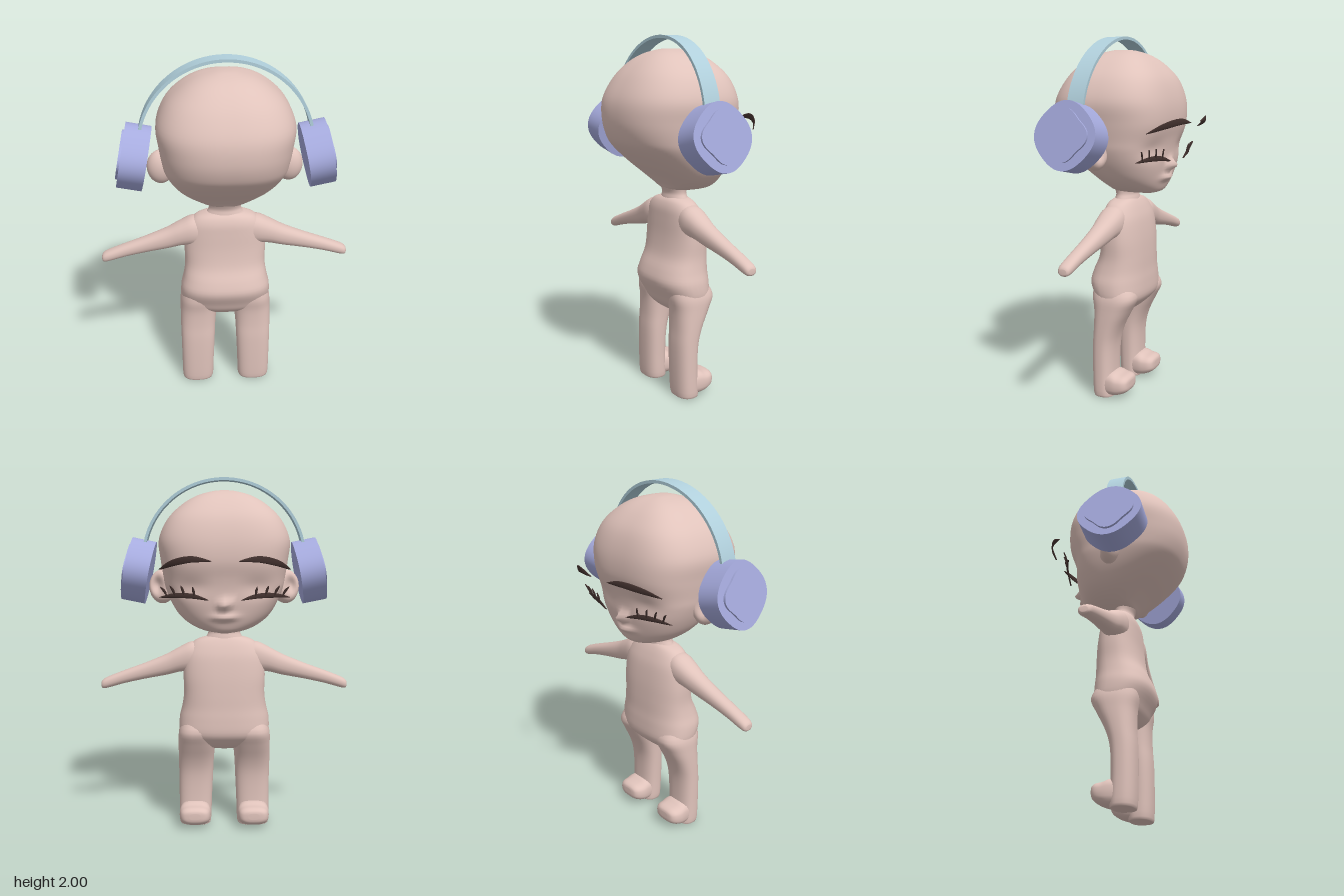
import * as THREE from 'three';
import { toCreasedNormals } from 'three/addons/utils/BufferGeometryUtils.js';

const mat = (name, color) => Object.assign(new THREE.MeshStandardMaterial({ color }), { name });
const V = (x, y, z) => new THREE.Vector3(x, y, z);

// Catmull-Rom resampling of a table of section rows
function smoothRows(rows, steps) {
  const out = [], at = i => rows[Math.min(Math.max(i, 0), rows.length - 1)];
  for (let i = 0; i < rows.length - 1; i++) {
    for (let k = 0; k < steps; k++) {
      const t = k / steps;
      out.push(rows[i].map((b, c) => {
        const a = at(i - 1)[c], d = at(i + 1)[c], e = at(i + 2)[c];
        return b + 0.5 * t * (d - a + t * (2 * a - 5 * b + 4 * d - e + t * (3 * (b - d) + e - a)));
      }));
    }
  }
  out.push(rows[rows.length - 1]);
  return out;
}

// Closed skin over a list of equal-length rings, with outward winding
function loft(rings) {
  const n = rings[0].length, pts = rings.flat(), idx = [];
  rings.slice(1).forEach((_, i) => {
    for (let j = 0; j < n; j++) {
      const a = i * n + j, b = i * n + (j + 1) % n, c = a + n, d = b + n;
      idx.push(a, c, b, b, c, d);
    }
  });
  [0, rings.length - 1].forEach((r, end) => {
    const pole = pts.length;
    pts.push(rings[r].reduce((s, p) => s.add(p), V(0, 0, 0)).divideScalar(n));
    for (let j = 0; j < n; j++) {
      const a = r * n + j, b = r * n + (j + 1) % n;
      idx.push(...(end ? [a, pole, b] : [a, b, pole]));
    }
  });
  let volume = 0;
  for (let i = 0; i < idx.length; i += 3) {
    volume += pts[idx[i]].dot(pts[idx[i + 1]].clone().cross(pts[idx[i + 2]]));
  }
  if (volume < 0) idx.reverse();
  const g = new THREE.BufferGeometry().setFromPoints(pts);
  g.setIndex(idx);
  g.computeVertexNormals();
  return g;
}

const power = (v, n) => Math.sign(v) * Math.abs(v) ** (2 / n);

// Horizontal rounded-square ring
function ring(y, cx, hw, zBack, zFront, nBack = 2.4, nFront = nBack, count = 40) {
  return Array.from({ length: count }, (_, j) => {
    const t = j / count * Math.PI * 2, n = Math.sin(t) > 0 ? nBack : nFront;
    return V(cx + hw * power(Math.cos(t), n), y,
      (zBack + zFront) / 2 + (zBack - zFront) / 2 * power(Math.sin(t), n));
  });
}

// Thin tapered brush stroke following a curve
function stroke(points, half) {
  const curve = new THREE.CatmullRomCurve3(points), rings = [];
  for (let i = 0; i <= 16; i++) {
    const t = i / 16, p = curve.getPoint(t);
    const side = curve.getTangent(t).cross(V(0, 0, 1)).normalize();
    const w = half * Math.max(0.08, Math.sin(Math.PI * t) ** 0.7);
    rings.push(Array.from({ length: 8 }, (_, j) => {
      const a = j * Math.PI / 4;
      return p.clone().addScaledVector(side, w * Math.cos(a)).add(V(0, 0, 0.004 * Math.sin(a)));
    }));
  }
  return loft(rings);
}

// Four-lobed plate, extruded along its axis
function clover(r, lobe, depth) {
  const pts = Array.from({ length: 64 }, (_, i) => {
    const a = i / 64 * Math.PI * 2, q = r + lobe * Math.cos(4 * a);
    return new THREE.Vector2(q * Math.cos(a), q * Math.sin(a));
  });
  const g = new THREE.ExtrudeGeometry(new THREE.Shape(pts), { depth, bevelEnabled: false });
  return toCreasedNormals(g, 0.6);
}

export function createModel() {
  const model = new THREE.Group();
  const skin = mat('skin', 0xe0c3bb), lilac = mat('lilac', 0xa6abde);
  const blue = mat('pale blue', 0xb0cfdb), brown = mat('dark brown', 0x42312e);
  const add = (name, geo, material, parent = model) => {
    const m = new THREE.Mesh(geo, material);
    m.name = name;
    parent.add(m);
    return m;
  };

  // Head: height, half width, back, front (the face looks towards -z)
  const headRows = smoothRows([
    [1.153, 0.04, 0.02, -0.15], [1.168, 0.12, 0.07, -0.195], [1.2, 0.19, 0.10, -0.215],
    [1.25, 0.25, 0.155, -0.228], [1.32, 0.295, 0.24, -0.24], [1.4, 0.328, 0.325, -0.248],
    [1.46, 0.34, 0.365, -0.258], [1.55, 0.354, 0.388, -0.278], [1.66, 0.363, 0.38, -0.272],
    [1.77, 0.315, 0.325, -0.235], [1.85, 0.235, 0.255, -0.17], [1.9, 0.15, 0.18, -0.1],
    [1.925, 0.06, 0.1, -0.03], [1.93, 0.01, 0.05, 0.03],
  ], 5);
  const bump = (x, y, w, h) => Math.exp(-((x / w) ** 2) - (y / h) ** 2);
  const headRings = headRows.map(([y, hw, zb, zf]) => {
    const nFront = THREE.MathUtils.lerp(2.2, 3.1, THREE.MathUtils.smoothstep(y, 1.17, 1.42));
    const r = ring(y, 0, hw, zb, zf, 2.5, nFront, 112);
    // Nose, lips and shallow eye sockets
    r.forEach(p => {
      if (p.z > -0.1) return;
      p.z -= 0.056 * bump(p.x, y - 1.315, 0.028, 0.03) + 0.03 * bump(p.x, y - 1.247, 0.06, 0.018);
      p.z += 0.015 * bump(Math.abs(p.x) - 0.18, y - 1.41, 0.09, 0.05);
    });
    return r;
  });
  add('head', loft(headRings), skin);

  // Neck and torso
  const neck = smoothRows([[1.07, 0.13, 0.08, -0.06], [1.12, 0.1, 0.07, -0.05],
    [1.15, 0.09, 0.068, -0.045], [1.2, 0.1, 0.09, -0.06], [1.26, 0.12, 0.1, -0.07]], 4);
  add('neck', loft(neck.map(([y, w, b, f]) => ring(y, 0, w, b, f, 2))), skin);
  const torso = smoothRows([
    [0.465, 0.04, 0.05, -0.01], [0.48, 0.13, 0.085, -0.045], [0.52, 0.22, 0.122, -0.092],
    [0.57, 0.255, 0.145, -0.128], [0.65, 0.257, 0.18, -0.13], [0.72, 0.241, 0.165, -0.125],
    [0.8, 0.23, 0.13, -0.122], [0.9, 0.232, 0.112, -0.115], [1.0, 0.225, 0.105, -0.1],
    [1.06, 0.2, 0.1, -0.08], [1.1, 0.16, 0.085, -0.06], [1.12, 0.1, 0.065, -0.045],
  ], 4);
  add('torso', loft(torso.map(([y, w, b, f]) => ring(y, 0, w, b, f, 2.5))), skin);

  for (const s of [1, -1]) {
    const side = s > 0 ? 'left' : 'right';

    // Arm: distance out, height, half height, half depth
    const arm = smoothRows([
      [0.1, 1.0, 0.08, 0.065], [0.18, 1.005, 0.085, 0.075], [0.25, 0.988, 0.072, 0.068],
      [0.33, 0.957, 0.06, 0.056], [0.45, 0.921, 0.046, 0.046], [0.57, 0.886, 0.037, 0.04],
      [0.66, 0.856, 0.032, 0.038], [0.692, 0.845, 0.026, 0.032], [0.702, 0.843, 0.014, 0.02],
    ], 4);
    add(side + 'Arm', loft(arm.map(([x, cy, h, d]) => Array.from({ length: 24 }, (_, j) => {
      const t = j / 24 * Math.PI * 2;
      return V(s * x, cy + h * power(Math.cos(t), 2.3), 0.012 + d * power(Math.sin(t), 2.3));
    }))), skin);

    // Leg: height, centre, half width, back, front
    const leg = smoothRows([
      [0, 0.17, 0.075, 0.105, 0.0], [0.012, 0.17, 0.092, 0.12, -0.008], [0.15, 0.168, 0.096, 0.125, -0.002],
      [0.3, 0.165, 0.1, 0.125, -0.008], [0.4, 0.163, 0.103, 0.12, -0.035],
      [0.5, 0.158, 0.107, 0.122, -0.085], [0.58, 0.155, 0.105, 0.135, -0.12], [0.66, 0.14, 0.09, 0.13, -0.08],
    ], 4);
    add(side + 'Leg', loft(leg.map(([y, c, w, b, f]) => ring(y, s * c, w, b, f, 2.5))), skin);

    // Foot: depth, bottom, top, half width
    const foot = smoothRows([
      [0.07, 0.003, 0.14, 0.08], [0.0, 0.003, 0.145, 0.09], [-0.04, 0.012, 0.132, 0.09],
      [-0.075, 0.028, 0.127, 0.082], [-0.095, 0.045, 0.115, 0.062], [-0.101, 0.065, 0.1, 0.03],
    ], 4);
    add(side + 'Foot', loft(foot.map(([z, lo, hi, w]) => Array.from({ length: 28 }, (_, j) => {
      const t = j / 28 * Math.PI * 2;
      return V(s * 0.17 + w * power(Math.cos(t), 2.8), (lo + hi) / 2 + (hi - lo) / 2 * power(Math.sin(t), 2.8), z);
    }))), skin);

    // Ear with a hollow on its front face
    const earGeo = new THREE.SphereGeometry(1, 32, 24);
    const ep = earGeo.attributes.position;
    for (let i = 0; i < ep.count; i++) {
      const x = ep.getX(i), y = ep.getY(i), z = ep.getZ(i);
      if (z < 0) ep.setZ(i, z + 0.8 * bump(x - s * 0.35, y - 0.1, 0.4, 0.5));
    }
    earGeo.scale(0.075, 0.095, 0.06).translate(s * 0.347, 1.4, 0.02);
    earGeo.computeVertexNormals();
    add(side + 'Ear', earGeo, skin);

    // Brow and closed eye with lashes
    add(side + 'Brow', stroke([V(s * 0.07, 1.55, -0.395), V(s * 0.17, 1.56, -0.383),
      V(s * 0.27, 1.54, -0.335), V(s * 0.345, 1.505, -0.27)], 0.018), brown);
    const lid = [V(s * 0.085, 1.345, -0.29), V(s * 0.17, 1.365, -0.273),
      V(s * 0.26, 1.368, -0.248), V(s * 0.35, 1.355, -0.21)];
    add(side + 'ClosedEye', stroke(lid, 0.014), brown);
    const lidCurve = new THREE.CatmullRomCurve3(lid);
    [0.3, 0.5, 0.68, 0.84].forEach((t, i) => {
      const p = lidCurve.getPoint(t), out = 0.008 + i * 0.009;
      add(side + 'Lash', stroke([p, p.clone().add(V(s * out * 0.4, 0.028, -0.006)),
        p.clone().add(V(s * out, 0.052, -0.012))], 0.007), brown);
    });

    // Headphone cup with a raised clover plate on the outside
    const cup = new THREE.Group();
    cup.name = side + 'HeadphoneCup';
    cup.position.set(s * 0.484, 1.486, 0.085);
    cup.rotation.set(0, s * Math.PI / 2, s * 0.2, 'ZYX');
    add('cupBody', clover(0.172, 0.006, 0.135).translate(0, 0, -0.0675), lilac, cup);
    add('cupPlate', clover(0.126, 0.011, 0.013).translate(0, 0, 0.0665), lilac, cup);
    model.add(cup);
  }

  // Headband: a flat strip bent over the head
  const band = [];
  for (let i = 0; i <= 48; i++) {
    const a = THREE.MathUtils.lerp(0.16, Math.PI - 0.16, i / 48), c = Math.cos(a), q = Math.sin(a);
    const z = 0.06 + 0.021 * c * c;
    band.push([[0, -1], [0, 1], [0.016, 1], [0.016, -1]].map(([inset, w]) =>
      V((0.462 - inset) * c, 1.55 + (0.45 - inset) * q, z + w * 0.048)));
  }
  add('headband', toCreasedNormals(loft(band), 0.6), blue);
  return model;
}
